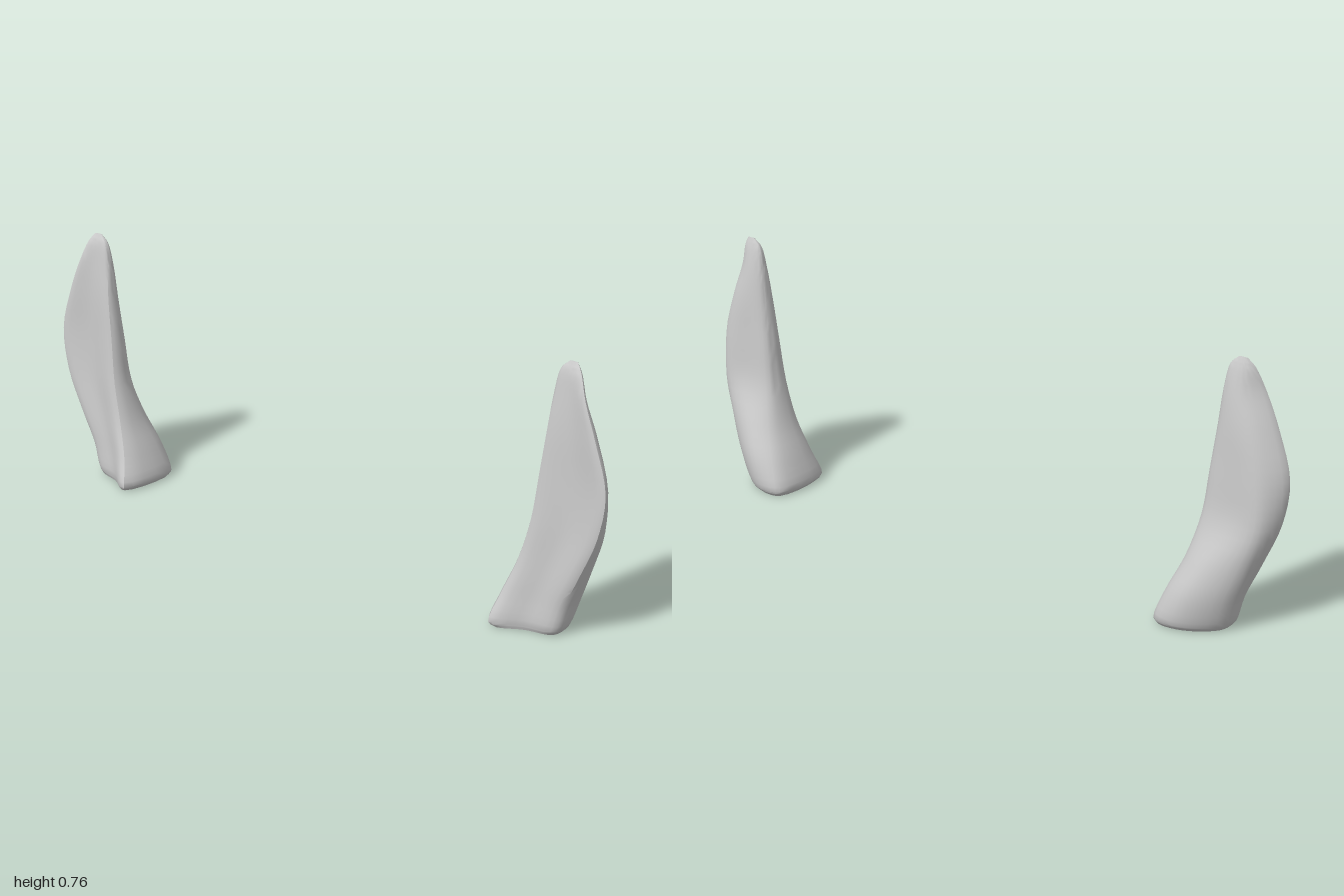
import * as THREE from 'three';
import { toCreasedNormals } from 'three/addons/utils/BufferGeometryUtils.js';

// Cross-sections: height, then x,z of inner-left, inner-right, right, outer-right, outer-left, left
const LEVELS = [
  [0.005, -0.095, 0.70, 0.085, 0.69, 0.085, 0.77, 0.02, 0.85, -0.035, 0.85, -0.06, 0.775],
  [0.02, -0.107, 0.69, 0.09, 0.682, 0.101, 0.765, 0.025, 0.862, -0.04, 0.862, -0.065, 0.775],
  [0.1, -0.082, 0.71, 0.075, 0.705, 0.105, 0.78, 0.04, 0.885, -0.04, 0.885, -0.055, 0.80],
  [0.2, -0.06, 0.745, 0.045, 0.745, 0.08, 0.82, 0.035, 0.92, -0.045, 0.93, -0.045, 0.84],
  [0.32, -0.05, 0.775, 0.02, 0.775, 0.038, 0.87, 0.025, 0.955, -0.047, 0.98, -0.038, 0.88],
  [0.45, -0.042, 0.79, 0.012, 0.79, 0.03, 0.87, 0.02, 0.95, -0.045, 0.998, -0.035, 0.89],
  [0.58, -0.035, 0.805, 0.005, 0.805, 0.025, 0.86, 0.012, 0.92, -0.044, 0.96, -0.035, 0.88],
  [0.68, -0.025, 0.815, 0, 0.815, 0.013, 0.855, 0, 0.89, -0.038, 0.92, -0.03, 0.87],
  [0.745, -0.018, 0.828, -0.006, 0.828, 0, 0.855, -0.005, 0.88, -0.022, 0.893, -0.022, 0.86],
  [0.768, -0.012, 0.85, -0.009, 0.85, -0.008, 0.857, -0.009, 0.87, -0.012, 0.875, -0.012, 0.86],
];
const AROUND = 30, STEPS = 4;

// Smooth rails run up each corner; closed curves join the rails into rings
function tuskGeometry(side) {
  const rails = [];
  for (let k = 0; k < 6; k++) {
    rails.push(new THREE.CatmullRomCurve3(
      LEVELS.map(l => new THREE.Vector3(l[1 + 2 * k], l[0], l[2 + 2 * k])), false, 'centripetal'));
  }
  const rows = (LEVELS.length - 1) * STEPS;
  const positions = [], indices = [];
  const tri = (a, b, c) => (side > 0 ? indices.push(a, b, c) : indices.push(a, c, b));
  const centres = [];
  for (let j = 0; j <= rows; j++) {
    const corners = rails.map(r => r.getPoint(j / rows));
    const ring = new THREE.CatmullRomCurve3(corners, true, 'centripetal');
    for (let i = 0; i < AROUND; i++) {
      const p = ring.getPoint(i / AROUND);
      positions.push(p.x, p.y, p.z * side);
    }
    if (j === 0 || j === rows) {
      const c = new THREE.Vector3();
      corners.forEach(p => c.addScaledVector(p, 1 / 6));
      centres.push(c);
    }
  }
  for (let j = 0; j < rows; j++) {
    for (let i = 0; i < AROUND; i++) {
      const n = (i + 1) % AROUND;
      const a = j * AROUND + i, b = j * AROUND + n;
      tri(a, a + AROUND, b);
      tri(b, a + AROUND, b + AROUND);
    }
  }
  // Flat foot and closed tip
  const foot = positions.length / 3;
  centres.forEach(c => positions.push(c.x, c.y, c.z * side));
  for (let i = 0; i < AROUND; i++) {
    const n = (i + 1) % AROUND;
    tri(foot, i, n);
    tri(foot + 1, rows * AROUND + n, rows * AROUND + i);
  }
  const geo = new THREE.BufferGeometry();
  geo.setAttribute('position', new THREE.Float32BufferAttribute(positions, 3));
  geo.setIndex(indices);
  geo.translate(0, -0.005, 0);
  return toCreasedNormals(geo, 0.6);
}

export function createModel() {
  const group = new THREE.Group();
  const material = new THREE.MeshStandardMaterial({ color: 0xcccccc });
  // Two mirrored tusks, front and back
  for (const [name, side] of [['frontTusk', 1], ['backTusk', -1]]) {
    const mesh = new THREE.Mesh(tuskGeometry(side), material);
    mesh.name = name;
    group.add(mesh);
  }
  return group;
}
